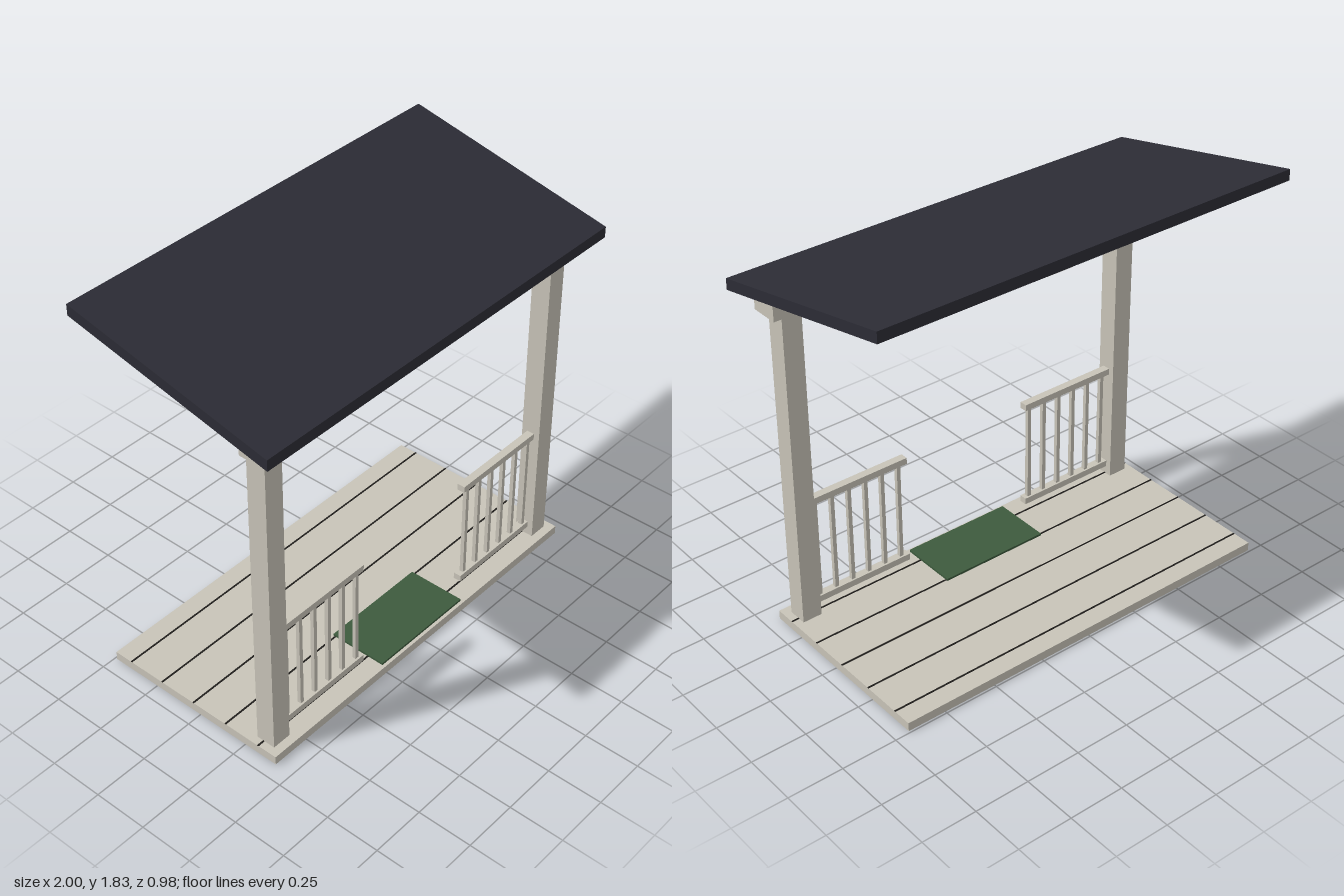
import * as THREE from 'three';

const material = (name, color) => {
  const m = new THREE.MeshStandardMaterial({ color });
  m.name = name;
  return m;
};

export function createModel() {
  const porch = new THREE.Group();
  porch.name = 'porch';
  const cream = material('cream paint', 0xc8c4b8);
  const slate = material('dark roofing', 0x2c2c35);
  const gapDark = material('board gap', 0x1e1c1a);
  const green = material('green mat', 0x3d5a3d);

  // Box given by its minimum and maximum corners
  const box = (name, mat, [x0, y0, z0], [x1, y1, z1], parent = porch) => {
    const mesh = new THREE.Mesh(new THREE.BoxGeometry(x1 - x0, y1 - y0, z1 - z0), mat);
    mesh.position.set((x0 + x1) / 2, (y0 + y1) / 2, (z0 + z1) / 2);
    mesh.name = name;
    parent.add(mesh);
    return mesh;
  };

  // Deck with thin dark gaps between its boards
  box('deck', cream, [-0.93, 0, -0.49], [0.93, 0.04, 0.415]);
  for (let i = -2; i <= 2; i++) {
    const z = -0.04 + i * 0.18;
    box('boardGap', gapDark, [-0.93, 0.039, z - 0.004], [0.93, 0.0415, z + 0.004]);
  }
  box('doormat', green, [-0.26, 0.04, 0.13], [0.26, 0.05, 0.4]);

  // Posts and the beam they carry
  for (const s of [-1, 1]) {
    const x = s * 0.85;
    box('post', cream, [x - 0.045, 0.04, 0.285], [x + 0.045, 1.49, 0.375]);
  }
  box('beam', cream, [-0.93, 1.49, 0.285], [0.93, 1.563, 0.415]);

  // Railings: two rails with six balusters, beside each post
  for (const x0 of [-0.808, 0.322]) {
    const railing = new THREE.Group();
    railing.name = 'railing';
    porch.add(railing);
    const x1 = x0 + 0.486;
    box('bottomRail', cream, [x0, 0.08, 0.312], [x1, 0.11, 0.348], railing);
    box('topRail', cream, [x0, 0.575, 0.312], [x1, 0.605, 0.348], railing);
    for (let i = 0; i < 6; i++) {
      const x = x0 + 0.037 + i * 0.084;
      box('baluster', cream, [x - 0.009, 0.11, 0.321], [x + 0.009, 0.575, 0.339], railing);
    }
  }

  // Ceiling lamp
  box('ceilingLamp', cream, [-0.063, 1.622, -0.277], [0.063, 1.65, -0.15]);

  // Lean-to roof: a slab sheared so its ends stay upright
  const slab = new THREE.BoxGeometry(2, 0.05, 0.98);
  const p = slab.attributes.position;
  for (let i = 0; i < p.count; i++) p.setY(i, p.getY(i) - p.getZ(i) * 0.214);
  slab.computeVertexNormals();
  const roof = new THREE.Mesh(slab, slate);
  roof.name = 'roof';
  roof.position.y = 1.696;
  porch.add(roof);

  return porch;
}
